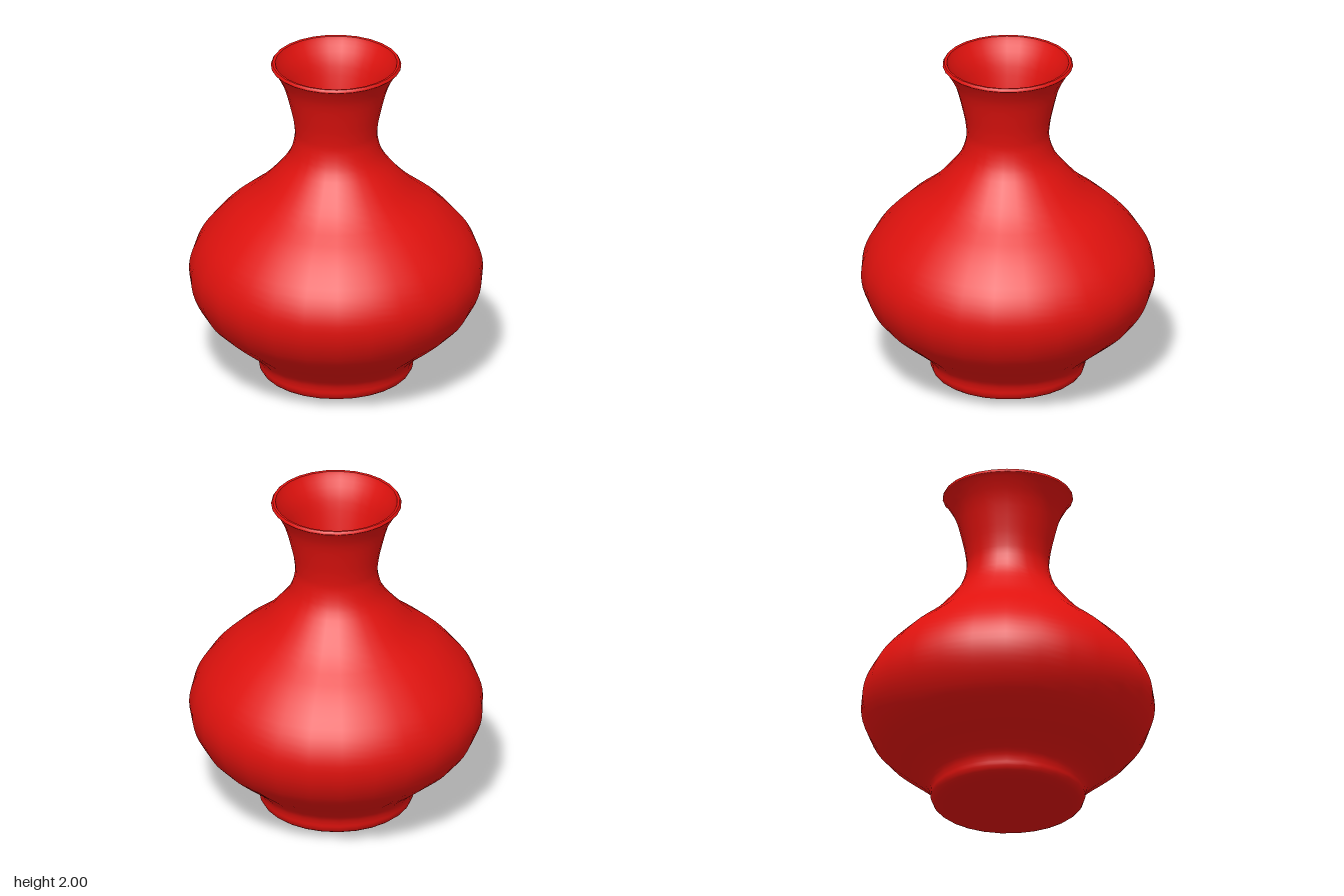
import * as THREE from 'three';

const SIDES = 27;

// Smooth a list of [radius, height] points into a profile
function smooth(points, count) {
  const curve = new THREE.SplineCurve(points.map(([r, y]) => new THREE.Vector2(r, y)));
  const result = curve.getPoints(count);
  result.forEach((p) => { p.x = Math.max(p.x, 0); });
  return result;
}

export function createModel() {
  const group = new THREE.Group();
  group.name = 'vase';
  const glaze = new THREE.MeshStandardMaterial({ color: 0xe0120e });

  // Underside, foot, belly, neck and flared lip
  const outer = [
    [0, 0.005], [0.17, 0.01], [0.34, 0.022], [0.42, 0.045], [0.445, 0.08], [0.45, 0.114],
    [0.468, 0.16], [0.53, 0.225], [0.653, 0.325], [0.76, 0.426], [0.828, 0.55],
    [0.85, 0.67], [0.828, 0.785], [0.76, 0.907], [0.627, 1.05], [0.468, 1.18],
    [0.36, 1.295], [0.275, 1.41], [0.241, 1.52], [0.242, 1.6], [0.26, 1.7], [0.303, 1.86],
    [0.36, 1.965], [0.377, 1.983], [0.368, 2.0],
  ];

  // Hollow inside, from the lip down to the floor
  const inner = [
    [0.353, 1.998], [0.34, 1.97], [0.282, 1.86], [0.238, 1.7], [0.217, 1.6], [0.215, 1.52],
    [0.25, 1.4], [0.335, 1.28], [0.45, 1.16], [0.61, 1.03], [0.735, 0.9], [0.803, 0.78],
    [0.825, 0.67], [0.803, 0.56], [0.74, 0.445], [0.635, 0.345], [0.51, 0.245],
    [0.44, 0.17], [0.415, 0.11], [0.385, 0.07], [0.3, 0.05], [0.15, 0.042], [0, 0.04],
  ];

  const addShell = (name, points) => {
    const geometry = new THREE.LatheGeometry(smooth(points, 72), SIDES, Math.PI);
    const mesh = new THREE.Mesh(geometry, glaze);
    mesh.name = name;
    group.add(mesh);
  };
  addShell('outerBody', outer);
  addShell('innerWall', inner);

  // Lip edge joining both walls
  addShell('lip', [outer[outer.length - 1], [0.361, 2.0], inner[0]]);

  return group;
}
